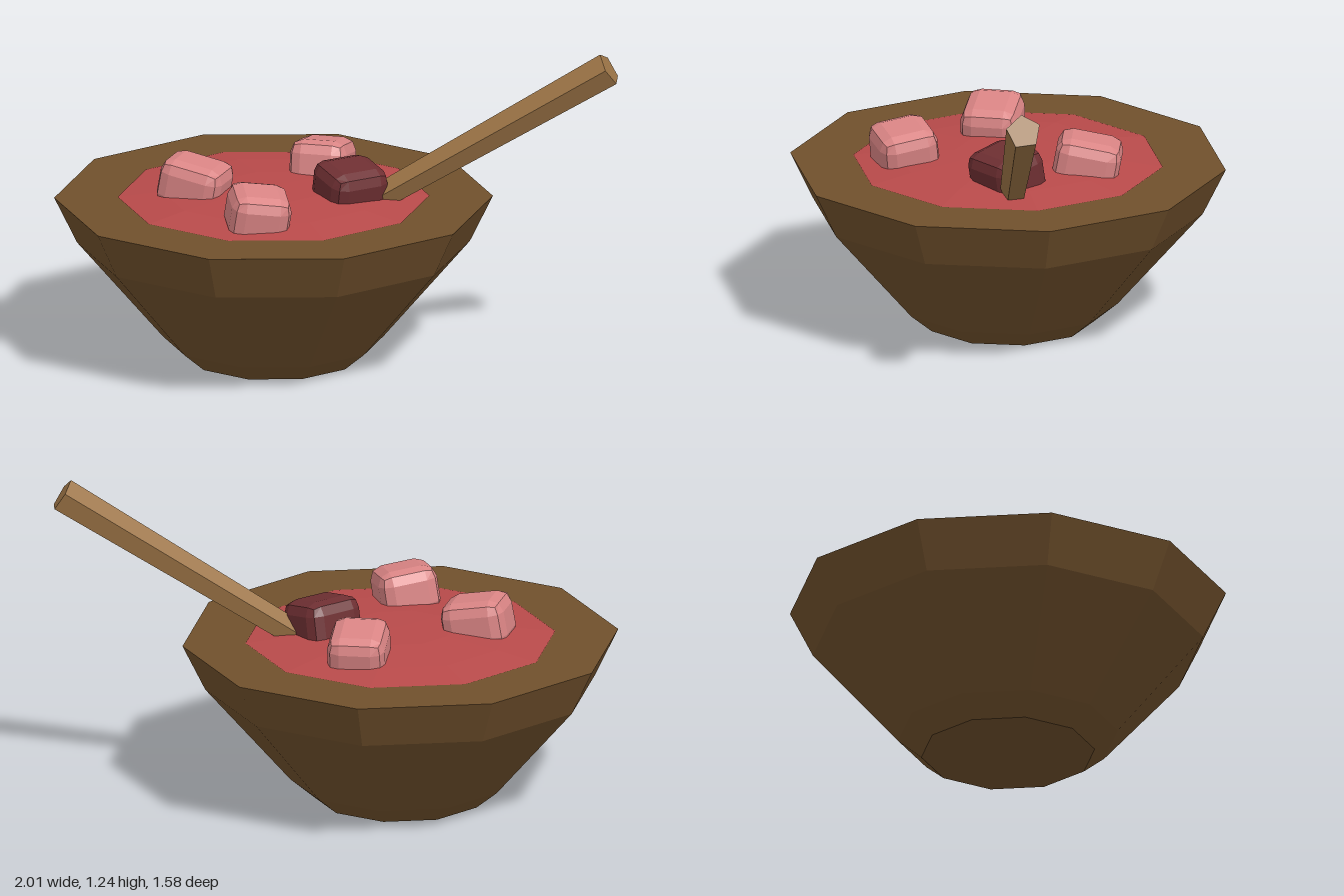
import * as THREE from 'three';
import { RoundedBoxGeometry } from 'three/addons/geometries/RoundedBoxGeometry.js';

const CENTRE_X = -0.17;

function material(name, color) {
  const m = new THREE.MeshStandardMaterial({ color, flatShading: true });
  m.name = name;
  return m;
}

// Ten-sided turned shape with corners on the x axis
function turned(name, profile, mat) {
  const points = profile.map(([r, y]) => new THREE.Vector2(r, y));
  const mesh = new THREE.Mesh(new THREE.LatheGeometry(points, 10, Math.PI / 2), mat);
  mesh.name = name;
  mesh.position.x = CENTRE_X;
  return mesh;
}

export function createModel() {
  const wood = material('dark wood', 0x70502c);
  const broth = material('red broth', 0xb84a4a);
  const pink = material('pink chunk', 0xd98484);
  const maroon = material('maroon chunk', 0x6e2f32);
  const handleWood = material('light wood', 0x9c7446);

  const model = new THREE.Group();
  model.name = 'bowlOfStew';

  // Bowl: base, flared wall and broad flat rim
  model.add(turned('bowl',
    [[0, 0], [0.33, 0], [0.418, 0.073], [0.743, 0.447], [0.83, 0.625], [0.58, 0.625]], wood));

  // Low dome of stew
  model.add(turned('stew', [[0.59, 0.627], [0.42, 0.648], [0.2, 0.664], [0, 0.668]], broth));

  // Bevelled chunks: name, size, position, tilt x, yaw, tilt z
  const chunks = [
    ['backChunk', [0.22, 0.19, 0.25], [-0.175, 0.675, -0.33], -0.18, 0.37, 0, pink],
    ['leftmostChunk', [0.25, 0.19, 0.22], [-0.41, 0.68, 0.175], 0, 0.25, -0.18, pink],
    ['frontChunk', [0.23, 0.19, 0.23], [0.005, 0.68, 0.352], 0.13, 0.75, -0.13, pink],
    ['darkChunk', [0.22, 0.19, 0.24], [0.098, 0.68, -0.12], 0, -0.42, -0.18, maroon],
  ];
  for (const [name, size, position, tiltX, yaw, tiltZ, mat] of chunks) {
    const chunk = new THREE.Mesh(new RoundedBoxGeometry(...size, 1, 0.05), mat);
    chunk.name = name;
    chunk.position.set(...position);
    chunk.rotation.set(tiltX, yaw, tiltZ, 'YXZ');
    model.add(chunk);
  }

  // Five-sided tapered spoon handle leaning out over the rim
  const top = new THREE.Vector3(0.965, 1.185, -0.595);
  const bottom = new THREE.Vector3(0.1, 0.58, -0.145);
  const along = top.clone().sub(bottom);
  const length = along.length();
  along.normalize();
  const ridge = new THREE.Vector3(-0.029, 0.06, 0.025);
  ridge.addScaledVector(along, -ridge.dot(along)).normalize();
  const side = new THREE.Vector3().crossVectors(along, ridge);
  const handle = new THREE.Mesh(new THREE.CylinderGeometry(0.067, 0.05, length, 5), handleWood);
  handle.name = 'spoonHandle';
  handle.quaternion.setFromRotationMatrix(new THREE.Matrix4().makeBasis(side, along, ridge));
  handle.position.copy(top).add(bottom).multiplyScalar(0.5);
  model.add(handle);

  return model;
}
